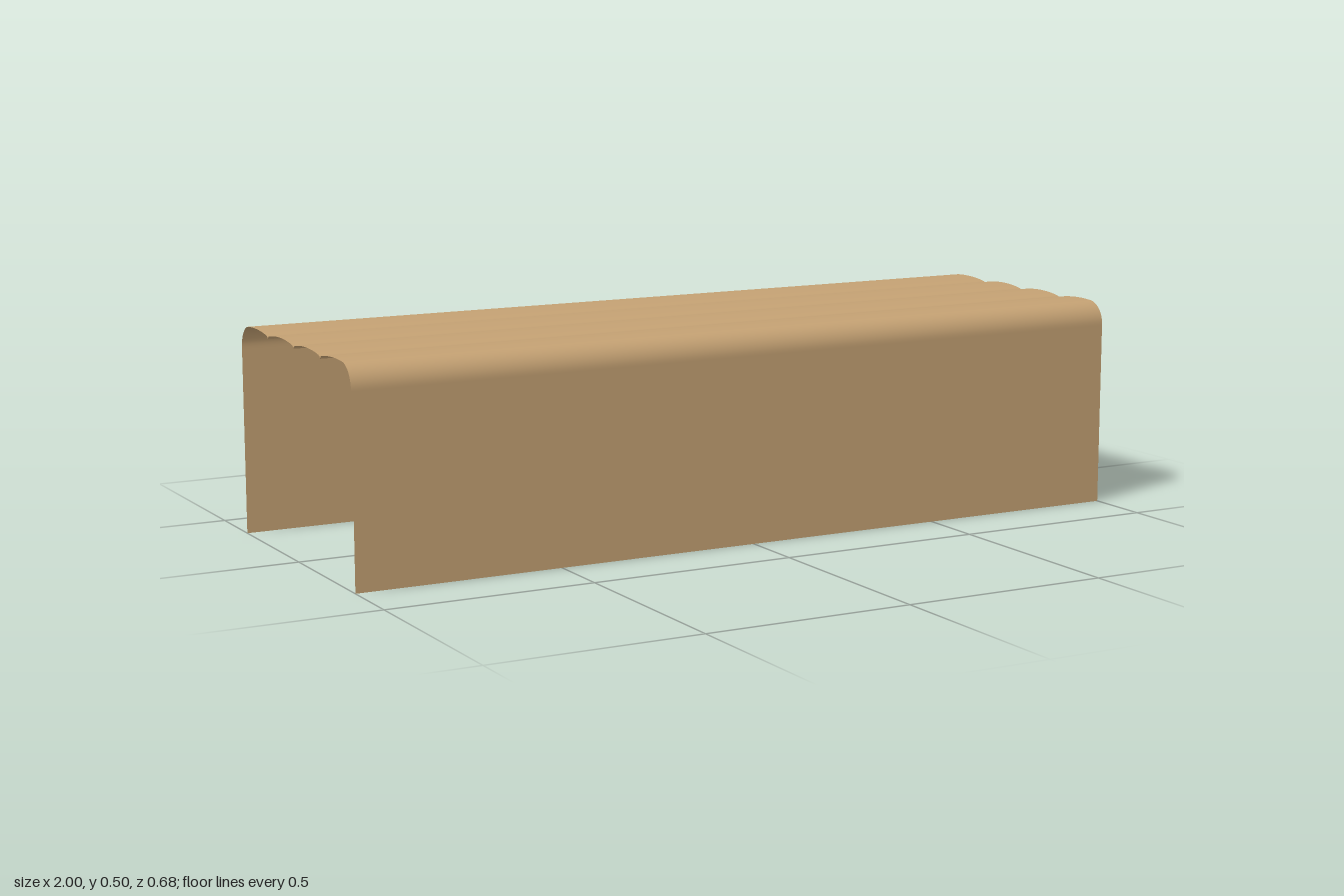
import * as THREE from 'three';

const HALF_LENGTH = 1, HALF_DEPTH = 0.34, TOP = 0.505;
const GROOVE = 0.163, SAG = 0.008, NOTCH = 0.006, RADIUS = 0.055;

// Thin sheet: a [z, y] profile, ordered front to back, swept along x.
function sweep(profile) {
  const positions = [], indices = [];
  profile.forEach(([z, y], i) => {
    positions.push(-HALF_LENGTH, y, z, HALF_LENGTH, y, z);
    if (i) {
      const a = 2 * i - 2;
      indices.push(a, a + 1, a + 3, a, a + 3, a + 2);
    }
  });
  const geometry = new THREE.BufferGeometry();
  geometry.setAttribute('position', new THREE.Float32BufferAttribute(positions, 3));
  geometry.setIndex(indices);
  geometry.computeVertexNormals();
  return geometry;
}

// Shallow crowned strip with a small rounded drop into each groove.
function crown(z, centre, halfWidth) {
  const u = Math.min(1, Math.abs(z - centre) / halfWidth);
  return TOP - SAG * u * u - NOTCH * Math.pow(u, 30);
}

// Middle strip between two grooves.
function stripProfile(centre) {
  const points = [], half = GROOVE / 2;
  for (let i = 0; i <= 32; i++) {
    const z = centre + half * Math.cos((i / 32) * Math.PI);
    points.push([z, crown(z, centre, half)]);
  }
  return points;
}

// Front wall, rounded shoulder and the outer strip up to its groove.
function frontProfile() {
  const centre = 0.25, half = centre - GROOVE;
  const shoulderZ = HALF_DEPTH - RADIUS;
  const shoulderY = crown(shoulderZ, centre, half);
  const points = [[HALF_DEPTH, 0], [HALF_DEPTH, 0.2], [HALF_DEPTH, shoulderY - RADIUS - 0.005]];
  for (let i = 0; i <= 12; i++) {
    const a = (i / 12) * (Math.PI / 2 - 0.08);
    points.push([shoulderZ + RADIUS * Math.cos(a), shoulderY - RADIUS + RADIUS * Math.sin(a)]);
  }
  for (let i = 1; i <= 24; i++) {
    const z = GROOVE + (shoulderZ - GROOVE) * (1 - Math.sin((i / 24) * Math.PI / 2));
    points.push([z, crown(z, centre, half)]);
  }
  return points;
}

export function createModel() {
  const model = new THREE.Group();
  model.name = 'ribbedBench';
  const tan = new THREE.MeshStandardMaterial({ color: 0xc4a173, side: THREE.DoubleSide });
  tan.name = 'tan wood';

  const add = (name, profile) => {
    const mesh = new THREE.Mesh(sweep(profile), tan);
    mesh.name = name;
    model.add(mesh);
  };

  // Outer panels mirror each other front to back
  const front = frontProfile();
  add('frontPanel', front);
  add('backPanel', front.map(([z, y]) => [-z, y]).reverse());

  // Two middle strips of the seat
  add('frontMiddleStrip', stripProfile(GROOVE / 2));
  add('backMiddleStrip', stripProfile(-GROOVE / 2));
  return model;
}
